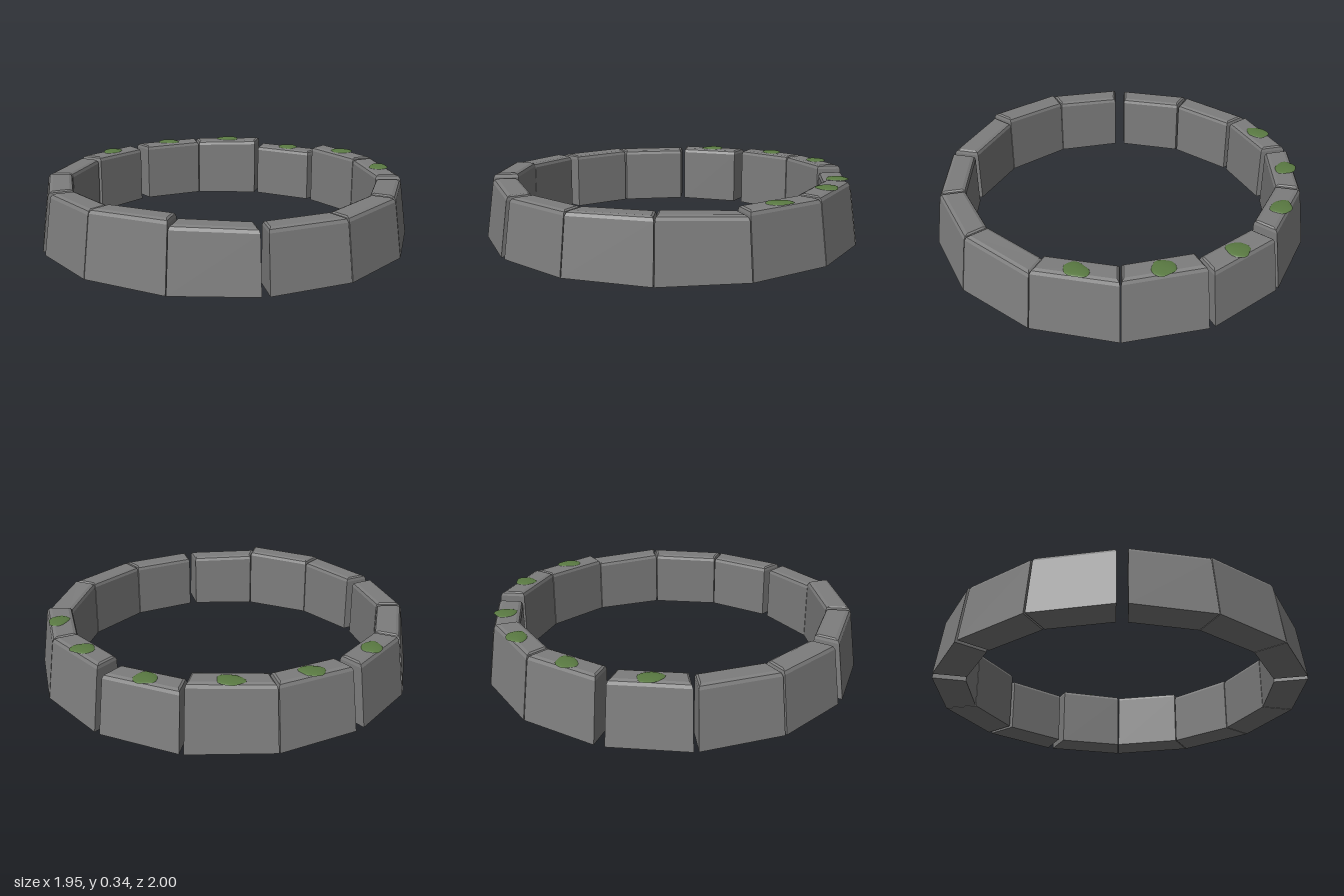
import * as THREE from 'three';

const COUNT = 14;
const STEP = (Math.PI * 2) / COUNT;
const BEVEL = 0.022;
const INNER = 0.825;

// Joint widths, counted from the front (+z) towards +x
const GAPS = [0.004, 0.04, 0.005, 0.005, 0.005, 0.005, 0.032, 0.022, 0.006, 0.055, 0.025, 0.01, 0.055, 0.004];

// Top height of each stone at its start and end joint
const HEIGHTS = [
  [0.315, 0.303], [0.303, 0.303], [0.303, 0.308], [0.312, 0.298], [0.318, 0.322], [0.328, 0.334], [0.3, 0.302],
  [0.337, 0.33], [0.33, 0.327], [0.32, 0.32], [0.312, 0.312], [0.315, 0.312], [0.318, 0.324], [0.332, 0.34],
];

// Moss patches: x, z, half width, half depth, stone index
const MOSS = [
  [0.8, -0.38, 0.05, 0.068, 4], [0.555, -0.69, 0.062, 0.056, 5], [0.195, -0.865, 0.057, 0.06, 6],
  [-0.2, -0.87, 0.066, 0.052, 7], [-0.545, -0.7, 0.064, 0.052, 8], [-0.8, -0.38, 0.052, 0.065, 9],
];

// One wedge-shaped stone, lofted upwards through four-cornered rings
function stoneGeometry(i) {
  const a0 = i * STEP, a1 = a0 + STEP, mid = a0 + STEP / 2;
  const along = new THREE.Vector3(Math.cos(mid), 0, -Math.sin(mid));
  const corner = (start, outer, drop, inset, ground) => {
    const y = ground ? 0 : HEIGHTS[i][start ? 0 : 1] - drop;
    const r = outer ? 1 - 0.14 * y - inset : INNER + inset;
    const a = start ? a0 : a1;
    const gap = GAPS[start ? i : (i + 1) % COUNT] / 2;
    return new THREE.Vector3(Math.sin(a) * r, y, Math.cos(a) * r)
      .addScaledVector(along, (start ? 1 : -1) * (gap + inset * 0.6));
  };
  const ring = (drop, inset, ground) => [
    corner(true, true, drop, inset, ground), corner(false, true, drop, inset, ground),
    corner(false, false, drop, inset, ground), corner(true, false, drop, inset, ground),
  ];
  const rings = [ring(0, 0, true), ring(BEVEL, 0), ring(BEVEL * 0.3, BEVEL * 0.3), ring(0, BEVEL)];

  const pos = [];
  const quad = (a, b, c, d) => [a, b, c, a, c, d].forEach((p) => pos.push(p.x, p.y, p.z));
  for (let k = 0; k < rings.length - 1; k++) {
    for (let j = 0; j < 4; j++) {
      const n = (j + 1) % 4;
      quad(rings[k][j], rings[k][n], rings[k + 1][n], rings[k + 1][j]);
    }
  }
  quad(...rings[rings.length - 1]);
  quad(...[...rings[0]].reverse());

  const geo = new THREE.BufferGeometry();
  geo.setAttribute('position', new THREE.Float32BufferAttribute(pos, 3));
  geo.computeVertexNormals();
  return geo;
}

// Low, slightly uneven dome
function mossGeometry(rx, rz, seed) {
  const geo = new THREE.SphereGeometry(1, 18, 6, 0, Math.PI * 2, 0, Math.PI / 2);
  const p = geo.attributes.position;
  for (let v = 0; v < p.count; v++) {
    const a = Math.atan2(p.getZ(v), p.getX(v));
    const wobble = 1 + 0.06 * Math.sin(a * 3 + seed) + 0.04 * Math.sin(a * 5 + seed * 2);
    p.setXYZ(v, p.getX(v) * rx * wobble, p.getY(v) * 0.009, p.getZ(v) * rz * wobble);
  }
  geo.computeVertexNormals();
  return geo;
}

export function createModel() {
  const model = new THREE.Group();
  model.name = 'stoneRing';
  const stone = new THREE.MeshStandardMaterial({ color: 0x7d7d7d });
  stone.name = 'grey stone';
  const moss = new THREE.MeshStandardMaterial({ color: 0x5a7a42 });
  moss.name = 'moss green';

  // Ring of stones
  for (let i = 0; i < COUNT; i++) {
    const mesh = new THREE.Mesh(stoneGeometry(i), stone);
    mesh.name = `stone${i + 1}`;
    model.add(mesh);
  }

  // Moss on the rear stones
  MOSS.forEach(([x, z, rx, rz, s], k) => {
    const mesh = new THREE.Mesh(mossGeometry(rx, rz, s * 1.7), moss);
    mesh.name = `mossPatch${k + 1}`;
    mesh.position.set(x, (HEIGHTS[s][0] + HEIGHTS[s][1]) / 2, z);
    // Follow the slope of the stone's top
    const mid = (s + 0.5) * STEP;
    const slope = (HEIGHTS[s][1] - HEIGHTS[s][0]) / 0.4;
    const up = new THREE.Vector3(-Math.cos(mid) * slope, 1, Math.sin(mid) * slope).normalize();
    mesh.quaternion.setFromUnitVectors(new THREE.Vector3(0, 1, 0), up);
    model.add(mesh);
  });

  return model;
}
